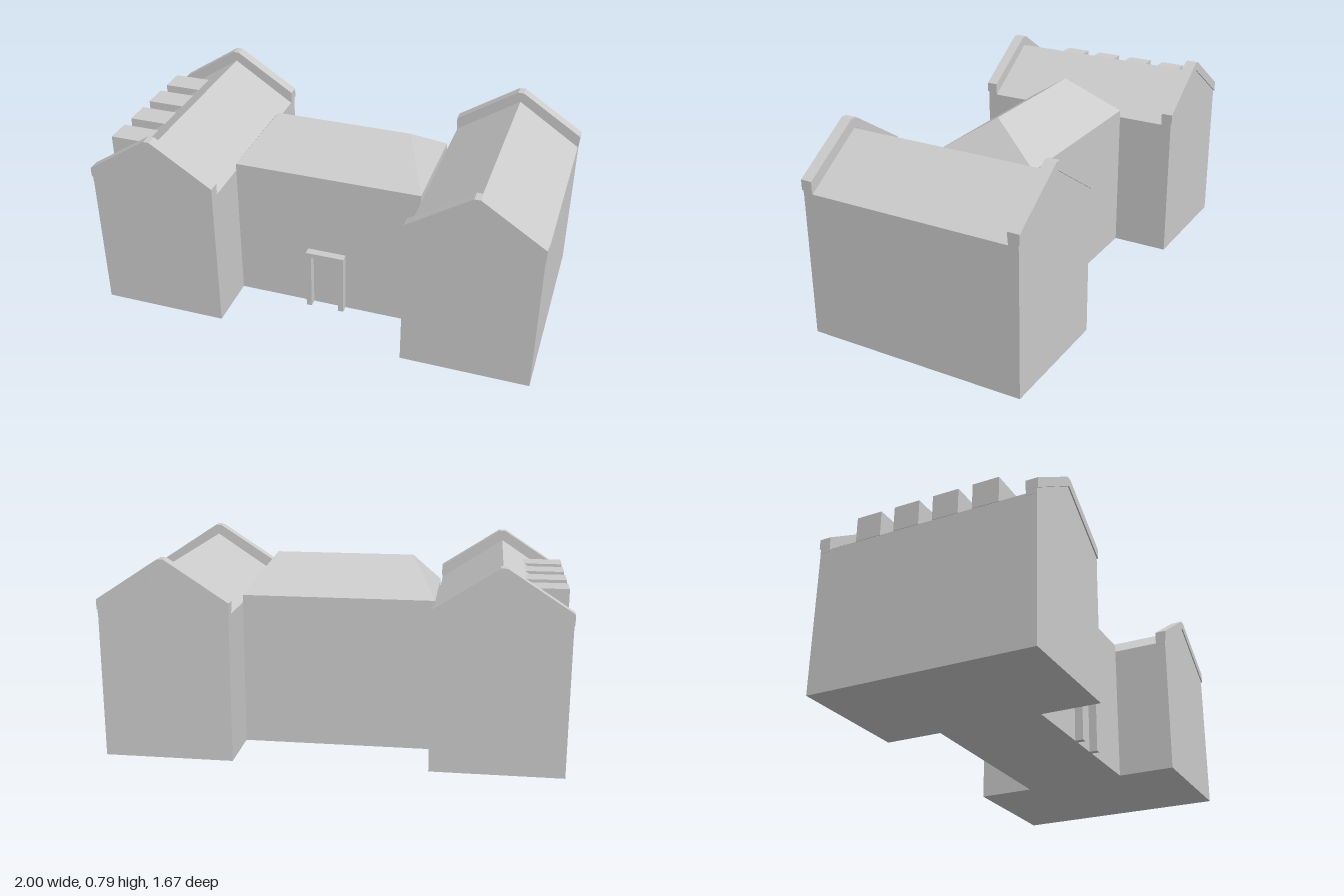
import * as THREE from 'three';
import { ConvexGeometry } from 'three/addons/geometries/ConvexGeometry.js';

const material = new THREE.MeshStandardMaterial({ color: 0xcccccc });

function add(parent, name, geometry, x = 0, y = 0, z = 0) {
  const mesh = new THREE.Mesh(geometry, material);
  mesh.name = name;
  mesh.position.set(x, y, z);
  parent.add(mesh);
  return mesh;
}

// Extrude an outline of [x, y] points along z, centred on z = 0
function prism(points, depth) {
  const shape = new THREE.Shape(points.map(([x, y]) => new THREE.Vector2(x, y)));
  const geometry = new THREE.ExtrudeGeometry(shape, { depth, bevelEnabled: false });
  return geometry.translate(0, 0, -depth / 2);
}

// House-shaped outline: straight walls and a pitched top
const gable = (half, base, eave, ridge) =>
  [[-half, base], [half, base], [half, eave], [0, ridge], [-half, eave]];

// Gabled wing with a raised parapet and coping at each end
function createWing(name, x) {
  const wing = new THREE.Group();
  wing.name = name;
  wing.position.x = x;
  add(wing, 'wingBody', prism(gable(0.255, 0, 0.58, 0.75), 0.89));
  const coping = [[-0.258, 0.59], [-0.258, 0.63], [-0.012, 0.79], [0.012, 0.79],
    [0.258, 0.63], [0.258, 0.59], [0, 0.757]];
  for (const side of [1, -1]) {
    add(wing, 'gableParapet', prism(gable(0.256, 0.57, 0.62, 0.78), 0.04), 0, 0, side * 0.425);
    add(wing, 'gableCoping', prism(coping, 0.046), 0, 0, side * 0.427);
  }
  return wing;
}

// Central hall with a hipped roof
function createHall() {
  const points = [];
  for (const x of [-1, 1]) {
    for (const z of [-1, 1]) {
      for (const y of [0, 0.61]) points.push(new THREE.Vector3(x * 0.38, y, z * 0.212));
    }
    points.push(new THREE.Vector3(x * 0.277, 0.75, 0));
  }
  return new ConvexGeometry(points);
}

export function createModel() {
  const model = new THREE.Group();
  model.name = 'building';

  // The whole plan sits at an angle to the axes
  const plan = new THREE.Group();
  plan.name = 'floorPlan';
  plan.rotation.y = Math.PI / 6;
  model.add(plan);

  add(plan, 'centralHall', createHall());
  const rightWing = createWing('rightWing', -0.635);
  plan.add(rightWing, createWing('leftWing', 0.635));

  // Row of flat-topped dormers on the outer slope
  for (let i = 0; i < 4; i++) {
    add(rightWing, 'dormer', new THREE.BoxGeometry(0.16, 0.1, 0.105), -0.164, 0.64, -0.245 + i * 0.162);
  }

  // Door surround, open at the bottom
  const surround = [[-0.08, 0], [-0.058, 0], [-0.058, 0.245], [0.058, 0.245],
    [0.058, 0], [0.08, 0], [0.08, 0.265], [-0.08, 0.265]];
  add(plan, 'doorSurround', prism(surround, 0.05), 0, 0, 0.22);

  return model;
}
